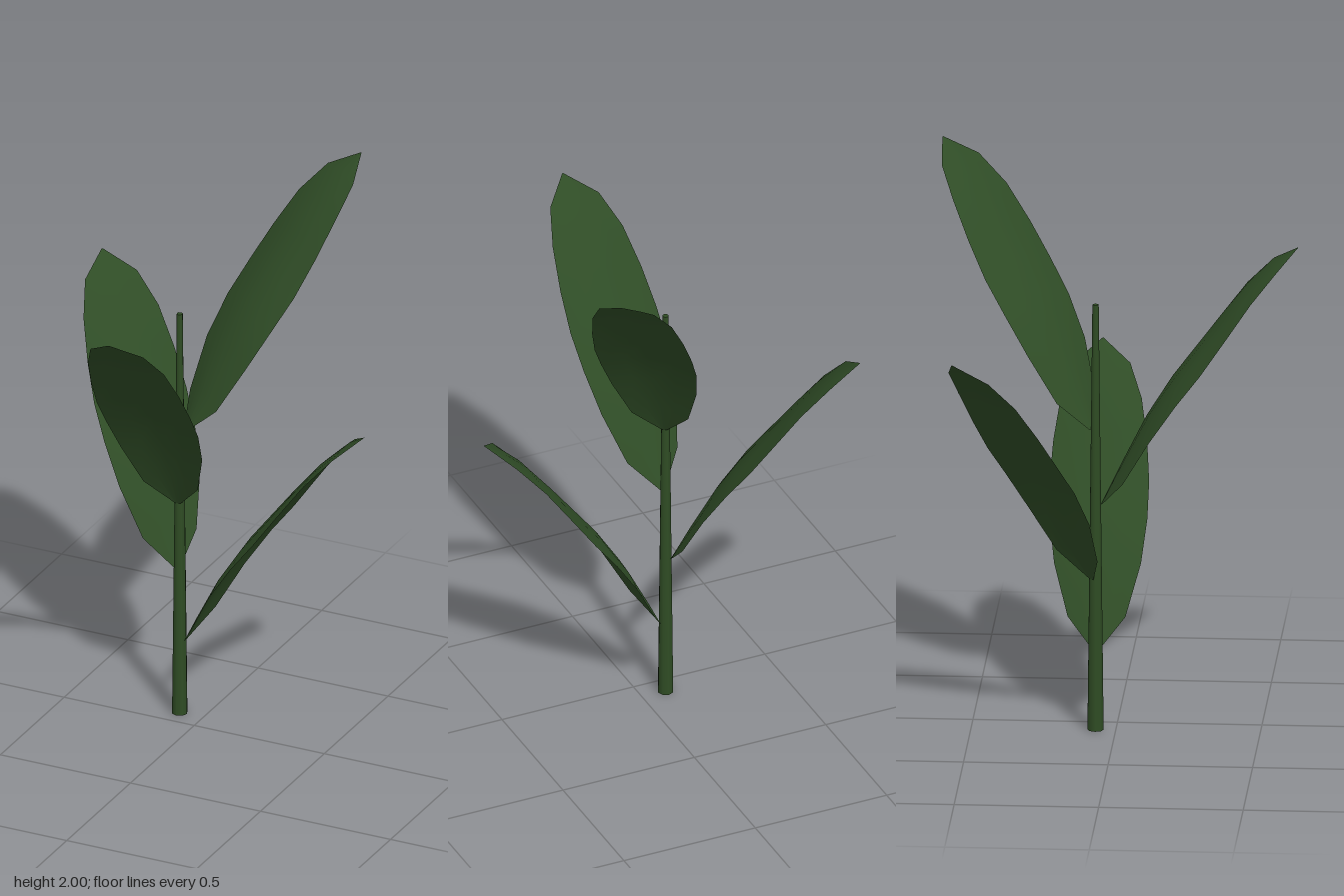
import * as THREE from 'three';

// Leaf stations from base to tip: [reach, midrib height, edge height, half width]
const STATIONS = [
  [0.02, 0.0, 0.0, 0.01],
  [0.09, 0.14, 0.1, 0.1],
  [0.18, 0.31, 0.265, 0.15],
  [0.27, 0.45, 0.4, 0.169],
  [0.355, 0.56, 0.51, 0.172],
  [0.44, 0.67, 0.63, 0.162],
  [0.53, 0.78, 0.755, 0.14],
  [0.62, 0.865, 0.855, 0.097],
  [0.7, 0.92, 0.92, 0.002],
];

// Grid bent into an arching blade whose edges sit below the midrib
function leafGeometry() {
  const cols = 4, rows = STATIONS.length - 1;
  const geo = new THREE.PlaneGeometry(1, 1, cols, rows);
  const pos = geo.attributes.position;
  for (let i = 0; i < pos.count; i++) {
    const [reach, mid, edge, half] = STATIONS[Math.floor(i / (cols + 1))];
    const s = (i % (cols + 1)) / cols * 2 - 1;
    pos.setXYZ(i, reach, mid + (edge - mid) * s * s, s * half);
  }
  geo.computeVertexNormals();
  return geo;
}

export function createModel() {
  const plant = new THREE.Group();
  plant.name = 'plant';
  const leafGreen = new THREE.MeshStandardMaterial({ color: 0x2f4c26, side: THREE.DoubleSide });
  leafGreen.name = 'leaf green';
  const stemGreen = new THREE.MeshStandardMaterial({ color: 0x2f4c24 });
  stemGreen.name = 'stem green';

  // Tapered stem
  const height = 1.535;
  const stem = new THREE.Mesh(new THREE.CylinderGeometry(0.011, 0.028, height, 8), stemGreen);
  stem.name = 'stem';
  stem.position.y = height / 2;
  plant.add(stem);

  // Four leaves spiralling up the stem
  const blade = leafGeometry();
  for (let i = 0; i < 4; i++) {
    const leaf = new THREE.Mesh(blade, leafGreen);
    leaf.name = `leaf${i + 1}`;
    leaf.position.y = 0.28 + i * 0.267;
    leaf.rotation.y = THREE.MathUtils.degToRad(1.6 + 137 * i);
    plant.add(leaf);
  }

  plant.position.set(-0.09, 0, -0.07);
  const model = new THREE.Group();
  model.name = 'model';
  model.add(plant);
  return model;
}
